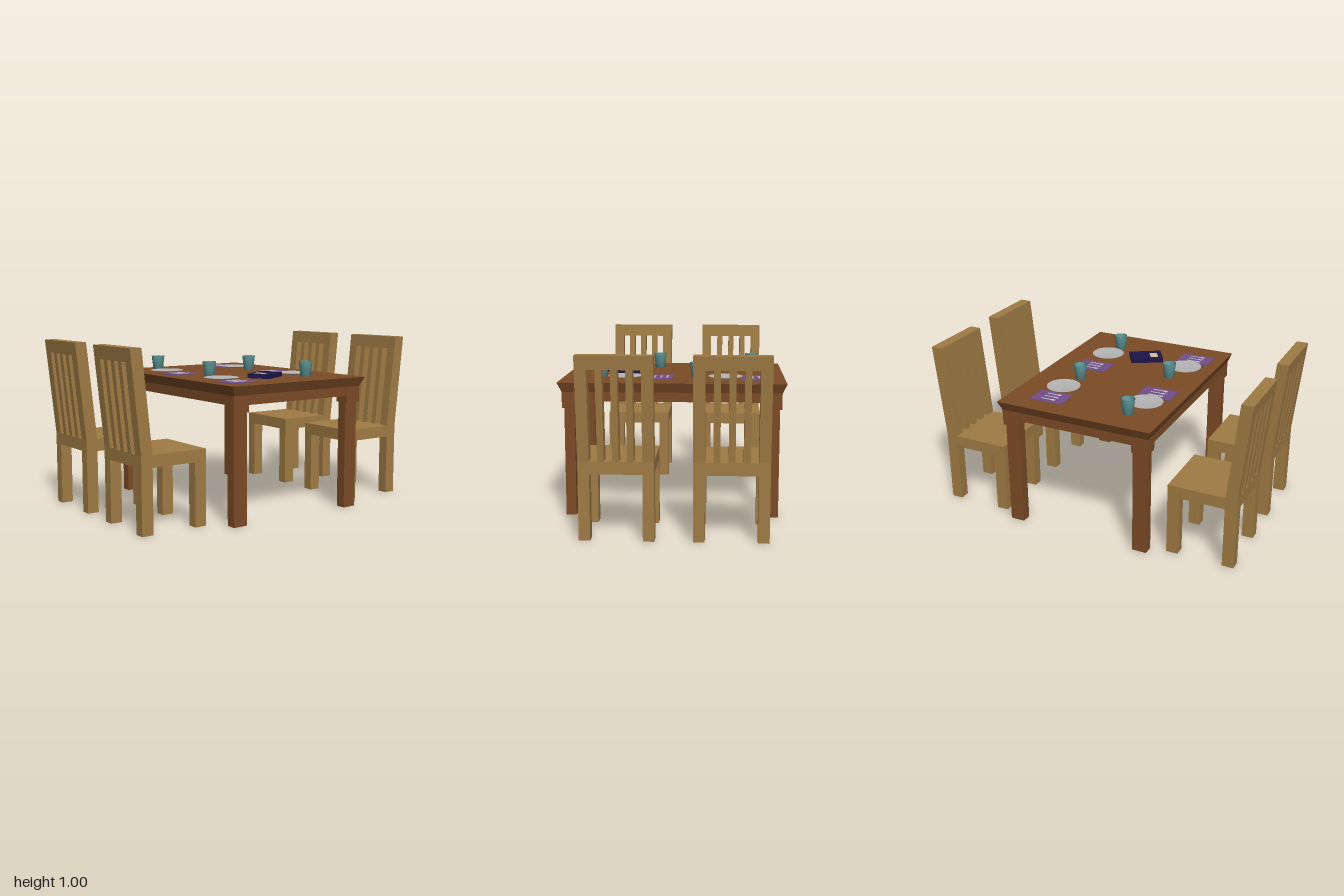
import * as THREE from 'three';

const mat = (color, extra = {}) => new THREE.MeshStandardMaterial({ color, ...extra });
const tableWood = mat(0x7c4b26), chairWood = mat(0xa07c45);
const china = mat(0xb4b4b4, { side: THREE.DoubleSide }), glass = mat(0x5f9a9c, { side: THREE.DoubleSide });
const cloth = mat(0x724e8a), steel = mat(0xc0c0c0), cover = mat(0x1d1648), label = mat(0xd8bd94);

function add(parent, name, geometry, material, x = 0, y = 0, z = 0) {
  const mesh = new THREE.Mesh(geometry, material);
  mesh.name = name;
  mesh.position.set(x, y, z);
  parent.add(mesh);
  return mesh;
}

// Box given by its min and max along each axis
function block(parent, name, material, [x0, x1], [y0, y1], [z0, z1]) {
  const geometry = new THREE.BoxGeometry(x1 - x0, y1 - y0, z1 - z0);
  geometry.translate((x0 + x1) / 2, (y0 + y1) / 2, (z0 + z1) / 2);
  return add(parent, name, geometry, material);
}

// Move each vertex by a rule, then refresh the normals
function reshape(geometry, rule) {
  const p = geometry.attributes.position, v = new THREE.Vector3();
  for (let i = 0; i < p.count; i++) {
    rule(v.fromBufferAttribute(p, i));
    p.setXYZ(i, v.x, v.y, v.z);
  }
  geometry.computeVertexNormals();
}

function makeTable() {
  const table = new THREE.Group();
  table.name = 'table';
  // Top flares outward toward its upper edge
  const top = block(table, 'tableTop', tableWood, [-0.48, 0.48], [0.73, 0.785], [-0.655, 0.655]);
  reshape(top.geometry, v => {
    if (v.y < 0.75) { v.x *= 0.46 / 0.48; v.z *= 0.63 / 0.655; }
  });
  block(table, 'apron', tableWood, [-0.455, 0.455], [0.675, 0.73], [-0.625, 0.625]);
  for (const sx of [-1, 1]) for (const sz of [-1, 1]) {
    add(table, 'legCap', new THREE.BoxGeometry(0.102, 0.095, 0.084), tableWood, sx * 0.409, 0.6825, sz * 0.588);
    add(table, 'tableLeg', new THREE.BoxGeometry(0.087, 0.64, 0.06), tableWood, sx * 0.406, 0.32, sz * 0.588);
  }
  table.position.set(0.01, 0, -0.003);
  return table;
}

// Chair on the +x side, facing the table
function makeChair() {
  const chair = new THREE.Group();
  chair.name = 'chair';
  const half = 0.203, post = 0.062;
  block(chair, 'seat', chairWood, [0.535, 0.942], [0.365, 0.435], [-half, half]);
  for (const s of [-1, 1]) {
    const z = s < 0 ? [-half, -half + post] : [half - post, half];
    block(chair, 'frontLeg', chairWood, [0.535, 0.605], [0, 0.365], z);
    block(chair, 'backLeg', chairWood, [0.873, 0.942], [0, 0.365], z);
  }
  // Backrest parts lean away from the table
  const leaning = (name, y, z) => {
    const mesh = block(chair, name, chairWood, [0.873, 0.942], y, z);
    reshape(mesh.geometry, v => { v.x += (v.y - 0.435) * 0.058 / 0.565; });
  };
  leaning('backPost', [0.435, 0.925], [-half, -half + post]);
  leaning('backPost', [0.435, 0.925], [half - post, half]);
  leaning('topRail', [0.925, 1], [-half, half]);
  for (const z of [-0.079, 0, 0.079]) leaning('slat', [0.435, 0.925], [z - 0.018, z + 0.018]);
  return chair;
}

const lathe = (points, segments) =>
  new THREE.LatheGeometry(points.map(([r, y]) => new THREE.Vector2(r, y)), segments);

// Mat with fork, knife and spoon lying along x
function makeMat() {
  const setting = new THREE.Group();
  setting.name = 'placeMat';
  add(setting, 'mat', new THREE.BoxGeometry(0.205, 0.004, 0.14), cloth, 0, 0.002, 0);
  ['fork', 'knife', 'spoon'].forEach((name, i) => {
    const z = (i - 1) * 0.037, y = 0.005;
    add(setting, name + 'Handle', new THREE.BoxGeometry(0.07, 0.003, 0.006), steel, 0.01, y, z);
    if (name === 'fork') {
      add(setting, 'forkHead', new THREE.BoxGeometry(0.008, 0.003, 0.016), steel, -0.026, y, z);
      for (const t of [-1, 0, 1])
        add(setting, 'forkTine', new THREE.BoxGeometry(0.018, 0.003, 0.003), steel, -0.037, y, z + t * 0.0065);
    } else if (name === 'knife') {
      add(setting, 'knifeBlade', new THREE.BoxGeometry(0.03, 0.003, 0.01), steel, -0.032, y, z);
    } else {
      add(setting, 'spoonBowl', new THREE.CylinderGeometry(0.009, 0.009, 0.003, 12), steel, -0.033, y, z).scale.x = 1.4;
    }
  });
  return setting;
}

export function createModel() {
  const model = new THREE.Group();
  model.name = 'diningSet';
  model.add(makeTable());

  // Four chairs: x side and z centre
  for (const [side, z] of [[1, -0.347], [1, 0.264], [-1, -0.347], [-1, 0.279]]) {
    const chair = makeChair();
    if (side < 0) chair.rotation.y = Math.PI;
    chair.position.z = z;
    model.add(chair);
  }

  const top = 0.785;
  const plate = lathe([[0, 0.002], [0.055, 0.002], [0.1, 0.011], [0.1, 0.013], [0.055, 0.006], [0, 0.006]], 32);
  const cup = lathe([[0, 0], [0.03, 0], [0.041, 0.09], [0.036, 0.09], [0.027, 0.006], [0, 0.006]], 24);
  for (const x of [-0.29, 0.245]) for (const z of [-0.31, 0.285]) add(model, 'plate', plate, china, x, top, z);
  for (const [x, z] of [[-0.255, -0.475], [0.222, -0.14], [-0.255, 0.11], [0.222, 0.425]])
    add(model, 'cup', cup, glass, x, top, z);
  for (const [x, z] of [[-0.297, -0.153], [0.238, -0.47], [0.238, 0.07], [-0.297, 0.445]]) {
    const setting = makeMat();
    setting.position.set(x, top, z);
    model.add(setting);
  }

  // Book lying askew with a pale cover panel
  const book = new THREE.Group();
  book.name = 'book';
  add(book, 'bookCover', new THREE.BoxGeometry(0.2, 0.026, 0.14), cover, 0, 0.013, 0);
  add(book, 'coverPanel', new THREE.BoxGeometry(0.048, 0.002, 0.068), label, -0.048, 0.0265, -0.006);
  book.position.set(-0.005, top, 0.325);
  book.rotation.y = 0.53;
  model.add(book);
  return model;
}
